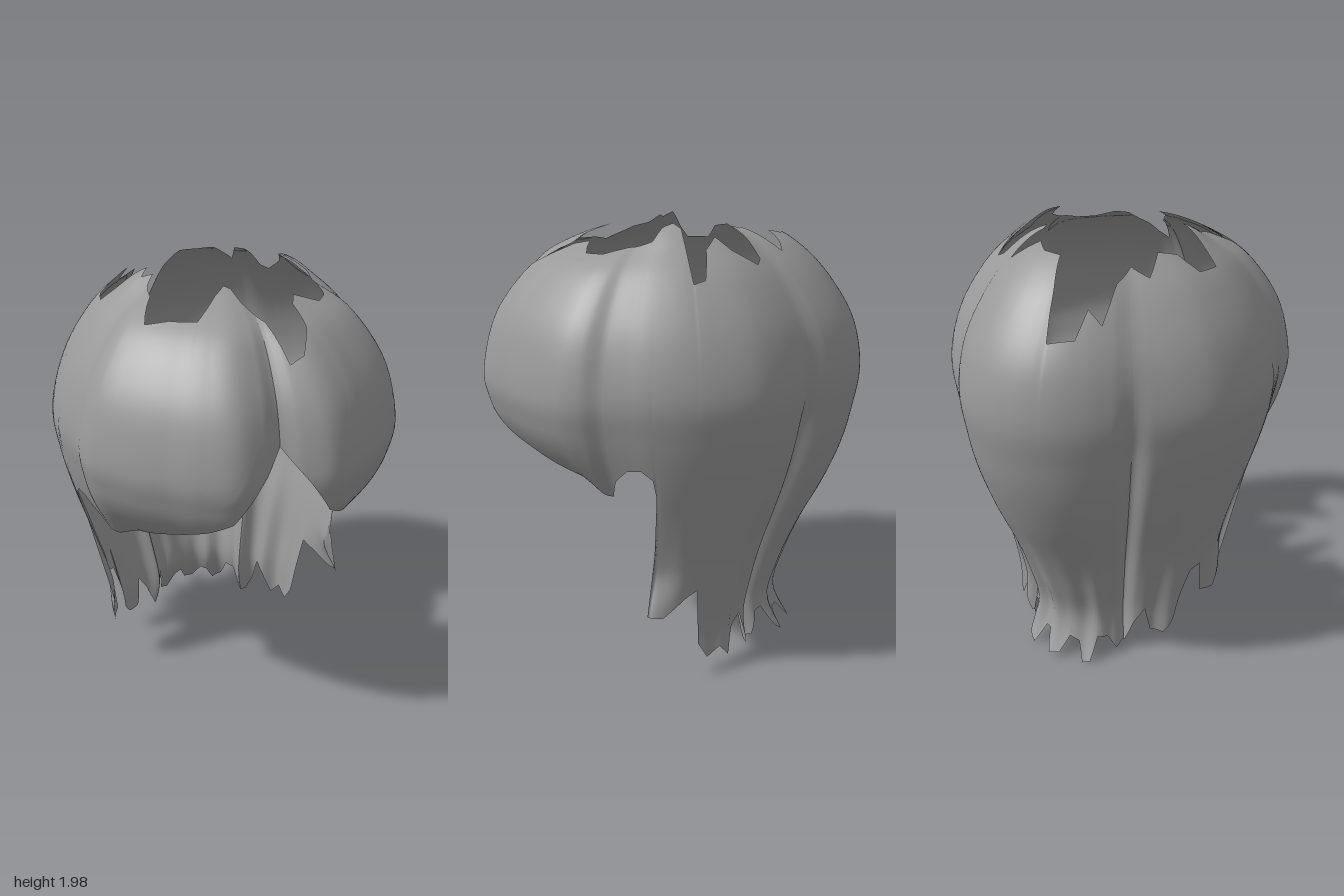
import * as THREE from 'three';

// Angles are in degrees around y: 0 = front (+z), 90 = +x, 180 = back.
// Widest plan radius by angle, mirrored left to right.
const PLAN = [[0, .765], [5, .81], [13, .855], [22, .84], [32, .812], [45, .8], [57, .795], [63, .775], [68, .742], [75, .733],
  [82, .735], [92, .737], [106, .738], [118, .742], [128, .73], [138, .718], [144, .72], [150, .75], [158, .787], [166, .818], [174, .836],
  [180, .84], [186, .836]];

// Vertical profiles [share of plan radius, height], crown to tips.
const SIDE = [[.15, 2.0], [.42, 1.98], [.6, 1.89], [.75, 1.785], [.91, 1.6], [1, 1.38], [.98, 1.2], [.92, 1], [.84, .8], [.765, .6], [.71, .4], [.66, .2], [.62, 0]];
const BACK = [[.2, 2.0], [.5, 1.945], [.68, 1.855], [.83, 1.72], [.95, 1.55], [1, 1.35], [.975, 1.17], [.93, 1], [.84, .8], [.725, .6], [.63, .4], [.575, .2], [.68, .01]];
const FRONT = [[.12, 1.985], [.36, 1.945], [.56, 1.885], [.74, 1.795], [.92, 1.6], [1, 1.36], [.98, 1.22], [.93, 1.12], [.84, 1.02], [.74, .95], [.64, .89], [.56, .8], [.5, .7]];

// Ragged crown opening: radius by angle.
const CROWN = [[0, .45], [3, .5], [6, .66], [11, .66], [18, .57], [22, .45], [30, .4], [42, .47], [53, .46], [66, .4], [78, .38], [82, .31],
  [90, .27], [96, .33], [99, .55], [104, .54], [108, .43], [116, .38], [122, .44], [133, .5], [137, .48], [142, .3], [149, .33],
  [154, .5], [159, .47], [165, .41], [174, .46], [184, .47], [188, .6], [190, .73], [198, .7], [201, .62], [206, .64], [211, .52],
  [218, .45], [226, .49], [234, .41], [245, .43], [252, .5], [264, .5], [268, .42], [273, .31], [280, .35], [284, .31], [290, .36],
  [300, .4], [310, .53], [320, .5], [333, .5], [340, .36], [346, .29], [351, .31], [355, .4], [360, .45]];

// Lower hem height by angle: fringe arch, open notch, then hanging locks.
const HEM = [[0, 1.45], [7, 1.32], [14, 1.17], [21, 1.11], [30, 1.06], [44, 1.0], [56, .94], [62, .91], [67, .91], [70, 1.0], [75, 1.06], [80, 1.07],
  [84, 1.03], [85.5, .9], [86.5, .36], [92, .35], [98, .41], [103, .44], [105, .13], [110, .05], [117, .1], [123, .04], [128, .16],
  [133, .22], [137, .1], [141, .03], [147, .05], [151, .16], [156, .17], [160, .06], [165, .02], [169, .11], [173, .12], [177, .03],
  [182, .04], [186, .12], [191, .1], [194, .01], [198, .02], [201, .13], [206, .12], [211, .05], [217, .06], [222, .17], [228, .25],
  [232, .12], [239, .1], [246, .18], [252, .44], [257, .46], [262, .27], [270, .25], [274, .4], [275, .9], [277, 1.03], [281, 1.07],
  [285, 1.06], [290, 1.0], [293, .91], [298, .91], [304, .94], [316, 1.0], [330, 1.06], [339, 1.11], [346, 1.17], [353, 1.32], [360, 1.45]];

function linear(table, x) {
  let i = 1;
  while (i < table.length - 1 && table[i][0] < x) i++;
  const [a, b] = [table[i - 1], table[i]];
  return a[1] + (b[1] - a[1]) * THREE.MathUtils.clamp((x - a[0]) / (b[0] - a[0]), 0, 1);
}

function cubic(values, t) {
  const i = Math.min(Math.floor(t), values.length - 2), f = t - i;
  const at = k => values[THREE.MathUtils.clamp(k, 0, values.length - 1)];
  const [a, b, c, d] = [at(i - 1), at(i), at(i + 1), at(i + 2)];
  return b + .5 * f * (c - a + f * (2 * a - 5 * b + 4 * c - d + f * (3 * (b - c) + d - a)));
}

// Angle folded onto one half, 0 to 180.
const fold = deg => (deg > 180 ? 360 - deg : deg);
const { smoothstep } = THREE.MathUtils;

function planRadius(deg) {
  const a = fold(deg);
  let i = 1;
  while (i < PLAN.length - 1 && PLAN[i][0] < a) i++;
  const [p, q] = [PLAN[i - 1], PLAN[i]];
  return cubic(PLAN.map(v => v[1]), i - 1 + (a - p[0]) / (q[0] - p[0]));
}

// Blend of front, side and back profiles at one angle: returns [radius, height] for t.
function profileAt(deg) {
  const a = fold(deg);
  const front = 1 - smoothstep(a, 50, 90);
  const back = smoothstep(a, 95, 170);
  const R = planRadius(deg);
  const mix = k => SIDE.map((s, i) => s[k] * (1 - front - back) + FRONT[i][k] * front + BACK[i][k] * back);
  const rs = mix(0), ys = mix(1);
  return t => [R * cubic(rs, t), cubic(ys, t)];
}

// Bisection for the t at which a rising test becomes true.
function findT(test) {
  let lo = 0, hi = SIDE.length - 1;
  for (let i = 0; i < 24; i++) {
    const mid = (lo + hi) / 2;
    if (test(mid)) hi = mid; else lo = mid;
  }
  return hi;
}

function point(deg, t, profile) {
  let [r, y] = profile(t);
  const a = fold(deg);
  const low = 1 - smoothstep(y, .05, 1.0);
  const hang = smoothstep(a, 84, 100);
  // strand ripples and the seam beside the back panel
  r += hang * low * (.009 * Math.cos((180 - a) * .3) + .006 * Math.sin(deg * .47 + 1));
  r -= .05 * Math.exp(-(((a - 144) / 3.5) ** 2)) * (1 - smoothstep(y, 1.0, 1.55));
  // flicked-out tips of the foremost side locks
  const flick = Math.exp(-(((a - 88) / 8) ** 2)) * (1 - smoothstep(y, .3, .55));
  r += (deg < 180 ? .12 : .04) * flick;
  // side locks lean forward toward their tips
  const lean = Math.exp(-(((a - 86) / 12) ** 2)) * (1 - smoothstep(y, .3, .95)) * 7;
  const angle = THREE.MathUtils.degToRad(deg + (deg < 180 ? -lean : lean * .4));
  return [r * Math.sin(angle), y, r * Math.cos(angle)];
}

// A sheet of hair between two angles, from the crown opening to the hem.
function hairSheet(from, to) {
  const rows = 48, half = rows / 2, cols = Math.round(to - from);
  const positions = [], index = [];
  for (let c = 0; c <= cols; c++) {
    const deg = from + (to - from) * c / cols;
    const profile = profileAt(deg);
    const top = findT(t => profile(t)[0] >= linear(CROWN, deg) || t > 5);
    const bottom = findT(t => profile(t)[1] <= linear(HEM, deg));
    // upper rows stay level where neighbouring locks differ in length
    const middle = Math.min(findT(t => profile(t)[1] <= 1.15), top + .8 * (bottom - top));
    for (let r = 0; r <= rows; r++) {
      const t = r < half ? top + (middle - top) * r / half : middle + (bottom - middle) * (r - half) / half;
      positions.push(...point(deg, t, profile));
      if (c < cols && r < rows) {
        const a = c * (rows + 1) + r, b = a + rows + 1;
        index.push(a, a + 1, b, b, a + 1, b + 1);
      }
    }
  }
  const geometry = new THREE.BufferGeometry();
  geometry.setAttribute('position', new THREE.Float32BufferAttribute(positions, 3));
  geometry.setIndex(index);
  geometry.computeVertexNormals();
  return geometry;
}

export function createModel() {
  const group = new THREE.Group();
  group.name = 'hair';
  const hairGrey = new THREE.MeshStandardMaterial({ color: 0x999999, side: THREE.DoubleSide });
  hairGrey.name = 'hair grey';
  const parts = [['leftFringe', 0, 69], ['leftSideHair', 69, 144], ['backHair', 144, 216],
    ['rightSideHair', 216, 291], ['rightFringe', 291, 360]];
  for (const [name, from, to] of parts) {
    const mesh = new THREE.Mesh(hairSheet(from, to), hairGrey);
    mesh.name = name;
    group.add(mesh);
  }
  return group;
}
